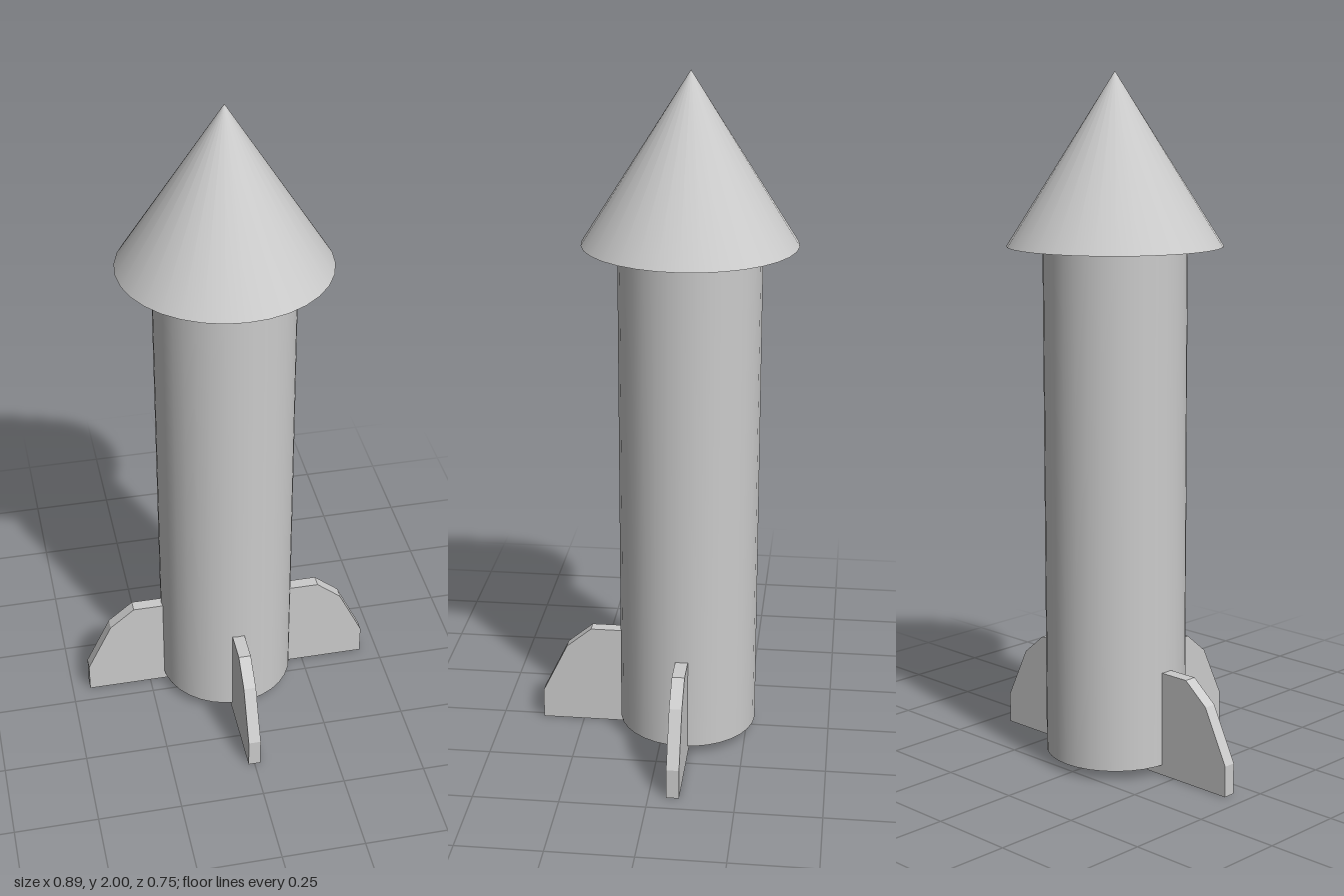
import * as THREE from 'three';

export function createModel() {
  const group = new THREE.Group();
  const material = new THREE.MeshStandardMaterial({ color: 0xcccccc });
  const axisZ = -0.07; // the rocket's axis sits behind the centre, as only the front has a third fin

  const add = (name, geometry, y) => {
    const mesh = new THREE.Mesh(geometry, material);
    mesh.name = name;
    mesh.position.set(0, y, axisZ);
    group.add(mesh);
    return mesh;
  };

  // Body tube and overhanging nose cone
  const bodyBottom = 0.03, bodyTop = 1.515, top = 2;
  add('body', new THREE.CylinderGeometry(0.205, 0.205, bodyTop - bodyBottom, 32), (bodyTop + bodyBottom) / 2);
  add('noseCone', new THREE.ConeGeometry(0.307, top - bodyTop, 32), (top + bodyTop) / 2);

  // Fin plate, drawn outwards along +x and centred on its thickness
  const thickness = 0.037;
  const outline = [[0.145, 0], [0.445, 0], [0.445, 0.09], [0.37, 0.245], [0.295, 0.307], [0.145, 0.307]];
  const finGeometry = new THREE.ExtrudeGeometry(
    new THREE.Shape(outline.map(([x, y]) => new THREE.Vector2(x, y))),
    { depth: thickness, bevelEnabled: false }
  );
  finGeometry.translate(0, 0, -thickness / 2);

  // Three fins: left, front and right
  const fins = { leftFin: 0, frontFin: -Math.PI / 2, rightFin: Math.PI };
  for (const [name, angle] of Object.entries(fins)) {
    add(name, finGeometry, 0).rotation.y = angle;
  }

  return group;
}
